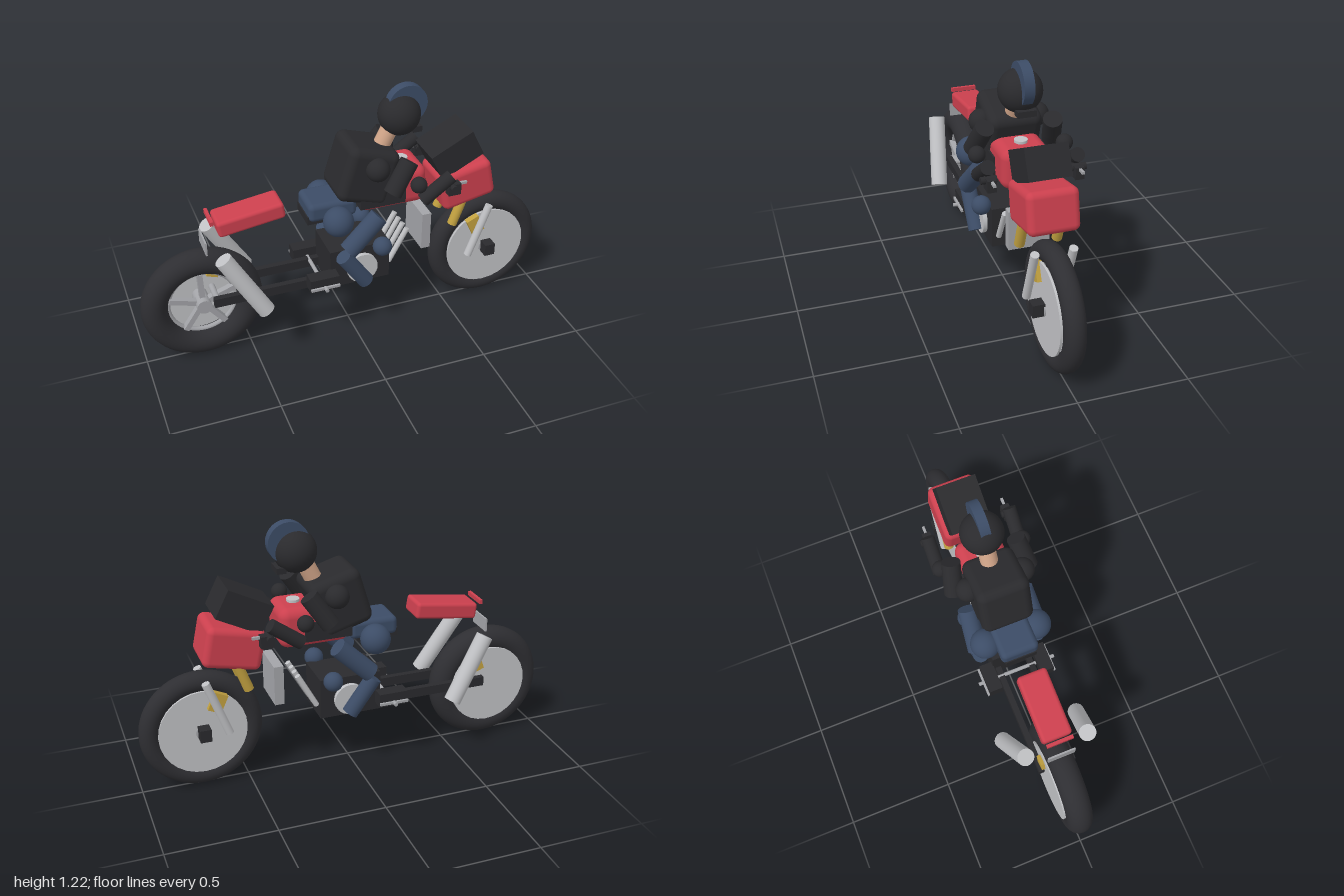
import * as THREE from 'three';
import { RoundedBoxGeometry } from 'three/addons/geometries/RoundedBoxGeometry.js';

const material = (name, color) => {
  const m = new THREE.MeshStandardMaterial({ color });
  m.name = name;
  return m;
};

export function createModel() {
  const black = material('black', 0x2a2a2d);
  const rubber = material('rubber', 0x2e2e32);
  const red = material('red', 0xcc404e);
  const navy = material('navy', 0x3c4c66);
  const silver = material('silver', 0xc0c1c4);
  const steel = material('steel', 0xa3a4a8);
  const gold = material('gold', 0xc2a140);
  const skin = material('skin', 0xd0a488);

  const model = new THREE.Group();
  model.name = 'motorcycleAndRider';

  const add = (name, geo, mat, x, y, z = 0, tilt = 0) => {
    const mesh = new THREE.Mesh(geo, mat);
    mesh.name = name;
    mesh.position.set(x, y, z);
    mesh.rotation.z = THREE.MathUtils.degToRad(tilt);
    model.add(mesh);
    return mesh;
  };
  const box = (name, mat, [w, h, d], [x, y, z = 0], tilt = 0, round = 0) =>
    add(name, round ? new RoundedBoxGeometry(w, h, d, 4, round) : new THREE.BoxGeometry(w, h, d), mat, x, y, z, tilt);
  const ball = (name, mat, r, [x, y, z = 0]) =>
    add(name, new THREE.SphereGeometry(r, 32, 20), mat, x, y, z);
  // cylinder between two points
  const rod = (name, mat, from, to, r0, r1 = r0) => {
    const a = new THREE.Vector3(...from), b = new THREE.Vector3(...to);
    const dir = b.clone().sub(a);
    const mesh = add(name, new THREE.CylinderGeometry(r1, r0, dir.length(), 28), mat, 0, 0);
    mesh.position.copy(a).add(b).multiplyScalar(0.5);
    mesh.quaternion.setFromUnitVectors(new THREE.Vector3(0, 1, 0), dir.normalize());
    return mesh;
  };
  // cylinder along z
  const disc = (name, mat, r, [x, y, z = 0], depth) =>
    rod(name, mat, [x, y, z - depth / 2], [x, y, z + depth / 2], r);

  // wheels
  const wheelY = 0.29, rearX = -0.715, frontX = 0.71;
  const wheel = (name, x, R, tube) => {
    add(name + 'Tyre', new THREE.TorusGeometry(R, tube, 24, 64), rubber, x, wheelY);
    add(name + 'Rim', new THREE.TorusGeometry(R - tube, 0.012, 10, 48), steel, x, wheelY);
    disc(name + 'Hub', steel, 0.035, [x, wheelY], 0.11);
    for (let i = 0; i < 5; i++) {
      const a = THREE.MathUtils.degToRad(20 + i * 72);
      const mid = (R - tube) / 2;
      box(name + 'Spoke', steel, [R - tube, 0.025, 0.03],
        [x + Math.cos(a) * mid, wheelY + Math.sin(a) * mid, 0.01], 20 + i * 72);
    }
  };
  wheel('rear', rearX, 0.223, 0.062);
  wheel('front', frontX, 0.237, 0.048);
  disc('rearBrakeDisc', silver, 0.195, [rearX, wheelY, -0.06], 0.01);
  for (const s of [-1, 1]) disc('frontBrakeDisc', silver, 0.205, [frontX, wheelY, s * 0.045], 0.01);
  box('frontAxle', black, [0.052, 0.06, 0.21], [frontX, 0.297]);
  disc('rearAxle', steel, 0.015, [rearX + 0.06, 0.32], 0.14);
  box('rearCaliper', gold, [0.055, 0.045, 0.045], [-0.645, 0.405, -0.06], -20);

  // engine, radiator and header pipes
  box('engine', black, [0.295, 0.195, 0.21], [0.023, 0.383]);
  disc('engineCover', silver, 0.075, [0.03, 0.37], 0.25);
  box('radiator', steel, [0.045, 0.19, 0.19], [0.362, 0.485]);
  for (const z of [-0.075, -0.025, 0.025, 0.075])
    rod('headerPipe', silver, [0.18, 0.345, z], [0.27, 0.51, z], 0.013);
  disc('footPegBar', steel, 0.009, [-0.17, 0.34], 0.39);

  // bodywork
  box('noseFairing', red, [0.268, 0.19, 0.23], [0.56, 0.70], 12, 0.03);
  box('windscreen', black, [0.225, 0.14, 0.19], [0.505, 0.865], 27);
  box('tank', red, [0.33, 0.19, 0.22], [0.187, 0.755], 0, 0.045);
  disc('fuelCap', silver, 0.03, [0.26, 0.852], 0.02).rotation.set(0, 0, 0);
  box('seat', navy, [0.23, 0.09, 0.18], [-0.1, 0.695], 0, 0.025);
  box('seatBase', black, [0.2, 0.04, 0.15], [-0.12, 0.658]);
  box('tail', red, [0.312, 0.078, 0.14], [-0.475, 0.715], 8, 0.016);
  box('tailLight', red, [0.015, 0.02, 0.125], [-0.653, 0.735], 0);
  box('rearPlate', steel, [0.008, 0.065, 0.13], [-0.687, 0.61]);
  box('waistPanel', black, [0.22, 0.09, 0.235], [0.13, 0.735]);

  // rider's body and head
  box('torso', black, [0.25, 0.27, 0.245], [0.065, 0.845], -17, 0.04);
  rod('neck', skin, [0.14, 0.9, 0], [0.21, 1.04, 0], 0.04);
  ball('helmet', black, 0.098, [0.245, 1.085]);
  disc('helmetCrest', navy, 0.095, [0.278, 1.13], 0.046);
  box('chinGuard', black, [0.045, 0.028, 0.085], [0.32, 1.012]);

  // mirrored parts
  for (const s of [-1, 1]) {
    box('swingarm', black, [0.55, 0.045, 0.028], [-0.4, 0.325, s * 0.078]);
    rod('exhaust', silver, [-0.46, 0.305, s * 0.19], [-0.635, 0.60, s * 0.15], 0.04);
    rod('forkLower', silver, [0.597, 0.285, s * 0.085], [0.695, 0.55, s * 0.085], 0.019);
    rod('forkUpper', gold, [0.50, 0.49, s * 0.085], [0.57, 0.68, s * 0.085], 0.023);
    box('frontCaliper', gold, [0.065, 0.09, 0.03], [0.64, 0.435, s * 0.055], 25);

    box('boot', black, [0.14, 0.065, 0.065], [-0.17, 0.355, s * 0.133]);
    box('footLever', steel, [0.14, 0.012, 0.012], [-0.17, 0.34, s * 0.17]);
    ball('hip', navy, 0.07, [-0.09, 0.66, s * 0.125]);
    rod('thigh', navy, [-0.055, 0.51, s * 0.155], [0.1, 0.655, s * 0.14], 0.045);
    ball('knee', navy, 0.045, [0.12, 0.485, s * 0.14]);
    rod('shin', navy, [0.04, 0.31, s * 0.14], [-0.075, 0.475, s * 0.145], 0.038);

    ball('shoulder', black, 0.055, [0.095, 0.895, s * 0.13]);
    rod('upperArm', black, [0.145, 0.79, s * 0.183], [0.235, 0.925, s * 0.155], 0.043);
    ball('elbow', black, 0.038, [0.265, 0.82, s * 0.2]);
    rod('forearm', black, [0.285, 0.735, s * 0.2], [0.425, 0.835, s * 0.2], 0.032);
    box('hand', black, [0.06, 0.055, 0.04], [0.44, 0.765, s * 0.195]);
    disc('grip', black, 0.016, [0.43, 0.78, s * 0.2], 0.07);
    box('brakeLever', steel, [0.11, 0.012, 0.012], [0.45, 0.785, s * 0.195]);
  }

  return model;
}
